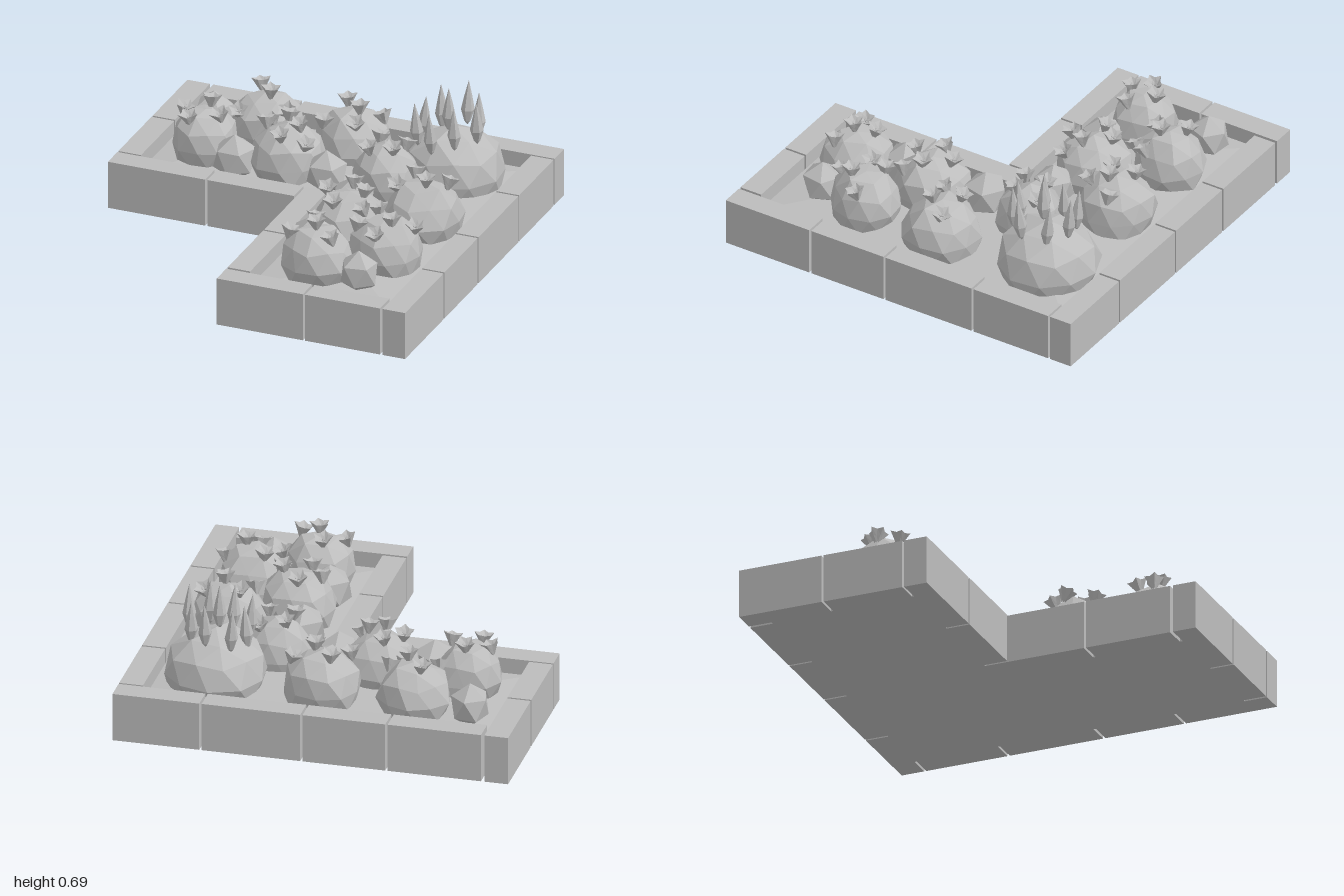
import * as THREE from 'three';

const stone = new THREE.MeshStandardMaterial({ color: 0xbcbcbc, flatShading: true, side: THREE.DoubleSide });
stone.name = 'plain grey';

function add(parent, geometry, name, x = 0, y = 0, z = 0) {
  const mesh = new THREE.Mesh(geometry, stone);
  mesh.name = name;
  mesh.position.set(x, y, z);
  parent.add(mesh);
  return mesh;
}

// Repeatable noise from a position, so shared corners stay together
function noise(x, y, z, seed) {
  const s = Math.sin(Math.round(x * 100) * 12.99 + Math.round(y * 100) * 7.23 + Math.round(z * 100) * 3.71 + seed * 5.17) * 4375.85;
  return s - Math.floor(s);
}

// Faceted lump with a vertex pointing up
function lump(r, ry, detail, jitter, seed) {
  const g = new THREE.IcosahedronGeometry(1, detail);
  g.rotateZ(0.5536);
  const p = g.attributes.position;
  for (let i = 0; i < p.count; i++) {
    const x = p.getX(i), y = p.getY(i), z = p.getZ(i);
    const k = 1 + jitter * (noise(x, y, z, seed) - 0.4);
    p.setXYZ(i, x * k * r, y * k * ry, z * k * r);
  }
  g.rotateY(seed * 1.3);
  g.computeVertexNormals();
  return g;
}

// Small open blossom with five pointed petals
function blossom() {
  const profile = [[0.012, -0.035], [0.03, -0.005], [0.052, 0.03], [0.022, 0.012], [0.001, 0.004]];
  const g = new THREE.LatheGeometry(profile.map(([x, y]) => new THREE.Vector2(x, y)), 10);
  const p = g.attributes.position;
  for (let i = 0; i < p.count; i++) {
    const petal = Math.floor(i / profile.length) % 2 === 0;
    const k = petal ? 1 : 0.68;
    p.setXYZ(i, p.getX(i) * k, p.getY(i) - (petal ? 0 : 0.006), p.getZ(i) * k);
  }
  return g;
}

// Border stones: [axis, fixed centre, joints along the run]
function buildBorder(group) {
  const height = 0.25, width = 0.12, gap = 0.012;
  const runs = [
    ['x', -0.94, [-0.869, -0.385, 0.045, 0.555, 1.006]],
    ['z', -0.94, [-1.006, -0.555, -0.125]],
    ['x', -0.06, [-1.006, -0.478, -0.006]],
    ['z', 0.06, [-0.126, 0.41, 0.87]],
    ['x', 0.94, [-0.006, 0.463, 0.872]],
    ['z', 0.94, [-0.875, -0.43, 0.08, 0.51, 1.006]],
  ];
  for (const [axis, side, joints] of runs) {
    for (let i = 1; i < joints.length; i++) {
      const length = joints[i] - joints[i - 1] - gap;
      const mid = (joints[i] + joints[i - 1]) / 2;
      if (axis === 'x') add(group, new THREE.BoxGeometry(length, height, width), 'borderStone', mid, height / 2, side);
      else add(group, new THREE.BoxGeometry(width, height, length), 'borderStone', side, height / 2, mid);
    }
  }
}

// L-shaped soil with a low ridge along the middle
function buildSoil(group) {
  const rim = [[-0.88, -0.88], [0.88, -0.88], [0.88, 0.88], [0.12, 0.88], [0.12, -0.12], [-0.88, -0.12]];
  const ridge = [[-0.5, -0.5], [0.5, -0.5], [0.5, 0.5]];
  const edge = 0.17;
  const shape = new THREE.Shape(rim.map(([x, z]) => new THREE.Vector2(x, -z)));
  const base = new THREE.ExtrudeGeometry(shape, { depth: edge, bevelEnabled: false });
  base.rotateX(-Math.PI / 2);
  add(group, base, 'soilBase');
  const points = [...rim.map(([x, z]) => [x, edge, z]), ...ridge.map(([x, z]) => [x, 0.22, z])];
  const mound = new THREE.BufferGeometry();
  mound.setAttribute('position', new THREE.Float32BufferAttribute(points.flat(), 3));
  mound.setIndex([0, 6, 7, 0, 7, 1, 1, 7, 8, 1, 8, 2, 2, 8, 3, 3, 8, 7, 3, 7, 4, 4, 7, 6, 4, 6, 5, 5, 6, 0]);
  mound.computeVertexNormals();
  add(group, mound, 'soilMound');
}

// Flowering bushes: [x, z, radius, blossom offsets in hundredths]
const BUSHES = [
  [-0.44, -0.66, 0.18, [[-5, -7], [4, 3], [-9, 13], [9, 14], [14, 6]]],
  [0.03, -0.65, 0.195, [[-6, -7], [4, 2], [14, -4], [-12, 10], [6, 12]]],
  [-0.64, -0.38, 0.165, [[0, -7], [-11, 1], [9, 4], [-5, 10]]],
  [-0.20, -0.37, 0.19, [[-3, -9], [7, 2], [-11, 0], [13, 9], [1, 12]]],
  [0.33, -0.34, 0.17, [[-5, -6], [6, 5], [-6, 7], [8, -8]]],
  [0.66, -0.04, 0.195, [[-7, -7], [3, 4], [11, -6], [-12, 6]]],
  [0.37, 0.20, 0.19, [[-2, -10], [8, 1], [-12, 0], [11, 10], [-4, 12]]],
  [0.65, 0.41, 0.18, [[-7, -7], [5, 5], [0, 14], [-13, 5], [14, -3]]],
  [0.38, 0.63, 0.18, [[0, 2], [10, 7], [-13, 4], [-4, -8]]],
];

function buildBushes(group) {
  const flower = blossom();
  BUSHES.forEach(([x, z, r, offsets], n) => {
    const bush = new THREE.Group();
    bush.name = 'floweringBush';
    bush.position.set(x, 0.26, z);
    const ry = 0.185;
    add(bush, lump(r, ry, 1, 0.14, n + 1), 'leaves');
    offsets.forEach(([a, b], i) => {
      const dx = a / 100, dz = b / 100;
      const y = ry * Math.sqrt(Math.max(0.1, 1 - (dx * dx + dz * dz) / (r * r)));
      const f = add(bush, flower, 'blossom', dx, y + 0.025, dz);
      f.rotation.set(dz * 2.5, i * 1.1 + n, -dx * 2.5);
    });
    group.add(bush);
  });
}

// Small plain bushes: [x, z, radius]
function buildSmallBushes(group) {
  const spots = [[-0.73, -0.70, 0.105], [-0.44, -0.27, 0.115], [0.04, -0.29, 0.11],
    [0.28, -0.05, 0.115], [0.27, 0.42, 0.115], [0.62, 0.68, 0.105]];
  spots.forEach(([x, z, r], n) => add(group, lump(r, r * 1.05, 0, 0.1, n + 20), 'smallBush', x, 0.26, z));
}

// Large round plant crowned with upright spikes: [x, z, tip height]
function buildSpikyPlant(group) {
  const cx = 0.58, cz = -0.6;
  add(group, lump(0.255, 0.225, 1, 0.1, 31), 'spikyPlantBody', cx, 0.245, cz);
  const spikes = [[0.48, -0.70, 0.63], [0.60, -0.73, 0.66], [0.69, -0.66, 0.64], [0.42, -0.60, 0.61],
    [0.57, -0.57, 0.69], [0.73, -0.545, 0.66], [0.44, -0.49, 0.62], [0.54, -0.42, 0.62], [0.65, -0.45, 0.65]];
  spikes.forEach(([x, z, tip], n) => {
    const low = tip - 0.23;
    const profile = [[0.001, 0], [0.016, 0.02], [0.034, 0.08], [0.02, 0.15], [0.001, 0.23]];
    const g = new THREE.LatheGeometry(profile.map(([a, b]) => new THREE.Vector2(a, b)), 6);
    const spike = add(group, g, 'spike', x, low, z);
    spike.rotation.set((z - cz) * 0.5, n, (cx - x) * 0.5);
  });
}

export function createModel() {
  const model = new THREE.Group();
  model.name = 'cornerFlowerBed';
  buildBorder(model);
  buildSoil(model);
  buildBushes(model);
  buildSmallBushes(model);
  buildSpikyPlant(model);
  return model;
}
